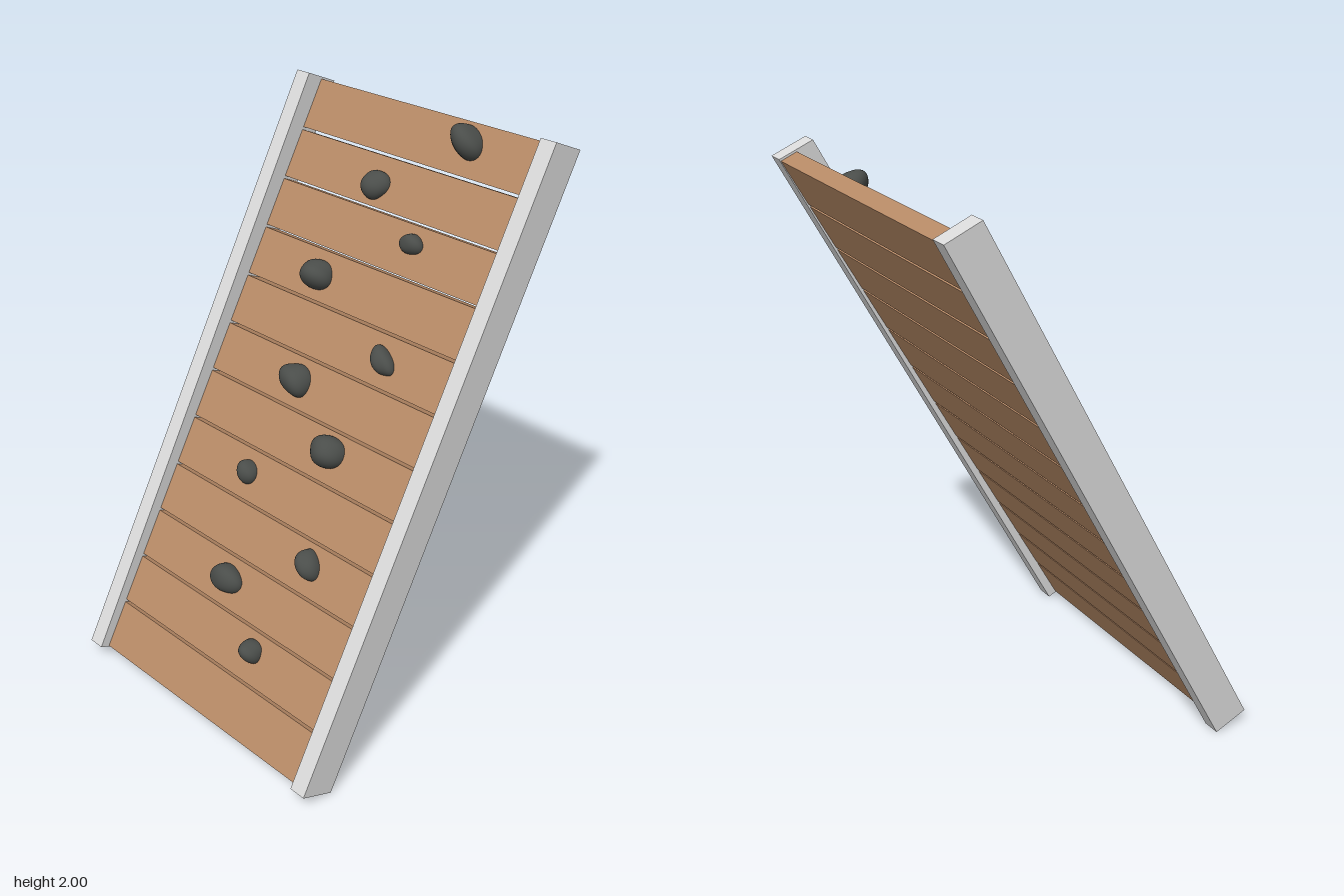
import * as THREE from 'three';
import { mergeVertices } from 'three/addons/utils/BufferGeometryUtils.js';

const V = (x, y, z) => new THREE.Vector3(x, y, z);

// Box spanned from a corner by a width, a vector up the slope and a thickness vector
function slab(name, material, corner, width, up, depth) {
  const geometry = new THREE.BoxGeometry(1, 1, 1).translate(0.5, 0.5, 0.5);
  const basis = new THREE.Matrix4().makeBasis(V(width, 0, 0), up, depth).setPosition(corner);
  const mesh = new THREE.Mesh(geometry.applyMatrix4(basis), material);
  mesh.name = name;
  return mesh;
}

// Smooth lumpy stone: local x across, y up the slope, z out of the wall
function rock(rx, ry, rz, seed) {
  const ball = new THREE.IcosahedronGeometry(1, 7);
  ball.deleteAttribute('uv');
  ball.deleteAttribute('normal');
  const geometry = mergeVertices(ball, 1e-4);
  const p = geometry.attributes.position;
  for (let i = 0; i < p.count; i++) {
    const v = V(0, 0, 0).fromBufferAttribute(p, i);
    const k = 1 + 0.07 * Math.sin(2.4 * v.x + 1.7 * v.y + seed * 1.9)
      + 0.05 * Math.sin(3.1 * v.y - 2.2 * v.z + seed * 2.7);
    p.setXYZ(i, v.x * k * rx, v.y * k * ry, Math.max(v.z * k * rz, -0.025));
  }
  geometry.computeVertexNormals();
  return geometry;
}

export function createModel() {
  const model = new THREE.Group();
  model.name = 'climbingRamp';

  const railGrey = new THREE.MeshStandardMaterial({ color: 0xdadada });
  railGrey.name = 'rail grey';
  const wood = new THREE.MeshStandardMaterial({ color: 0xb78a66 });
  wood.name = 'plank wood';
  const stone = new THREE.MeshStandardMaterial({ color: 0x4a4d4a });
  stone.name = 'stone';

  // Side rails
  const railUp = V(0, 1.95, -1.053), railDepth = V(0, 0.05, 0.122);
  for (const [name, x] of [['leftRail', 0.52], ['rightRail', -0.582]]) {
    model.add(slab(name, railGrey, V(x, 0, 0.465), 0.062, railUp, railDepth));
  }

  // Planks with narrow open gaps, on a panel tilted slightly against the rails
  const front = V(0, 0.04, 0.553), up = V(0, 1.928, -1.078), depth = V(0, 0.024, 0.057);
  const count = 12, gap = 0.055;
  const planks = new THREE.Group();
  planks.name = 'planks';
  for (let i = 0; i < count; i++) {
    const from = i === 0 ? 0 : i + gap / 2;
    const to = i === count - 1 ? count : i + 1 - gap / 2;
    const corner = front.clone().sub(depth).addScaledVector(up, from / count);
    planks.add(slab('plank', wood, corner, 1.04,
      up.clone().multiplyScalar((to - from) / count), depth));
    planks.children[i].position.x = -0.52;
  }
  model.add(planks);

  // Climbing holds: x, y, half width, half height, protrusion, turn
  const holds = [
    [0.21, 1.91, 0.070, 0.050, 0.068, -0.4],
    [-0.095, 1.715, 0.054, 0.049, 0.050, -0.2],
    [0.14, 1.585, 0.045, 0.036, 0.038, 0],
    [-0.2, 1.405, 0.068, 0.051, 0.064, 0.25],
    [0.21, 1.245, 0.058, 0.038, 0.045, -0.6],
    [-0.12, 1.09, 0.066, 0.055, 0.062, -0.5],
    [0.13, 0.935, 0.070, 0.056, 0.068, 0.3],
    [-0.175, 0.77, 0.044, 0.041, 0.042, -0.4],
    [0.23, 0.615, 0.054, 0.040, 0.058, -1.0],
    [-0.095, 0.445, 0.071, 0.053, 0.048, 0.15],
    [0.135, 0.30, 0.044, 0.038, 0.052, 0.1],
  ];
  const wallTilt = -Math.atan2(1.078, 1.928);
  holds.forEach(([x, y, rx, ry, rz, turn], i) => {
    const mesh = new THREE.Mesh(rock(rx, ry, rz, i + 1), stone);
    mesh.name = 'climbingHold';
    mesh.position.copy(front).addScaledVector(up, (y - front.y) / up.y).setX(x);
    mesh.rotation.set(wallTilt, 0, turn);
    model.add(mesh);
  });

  return model;
}
